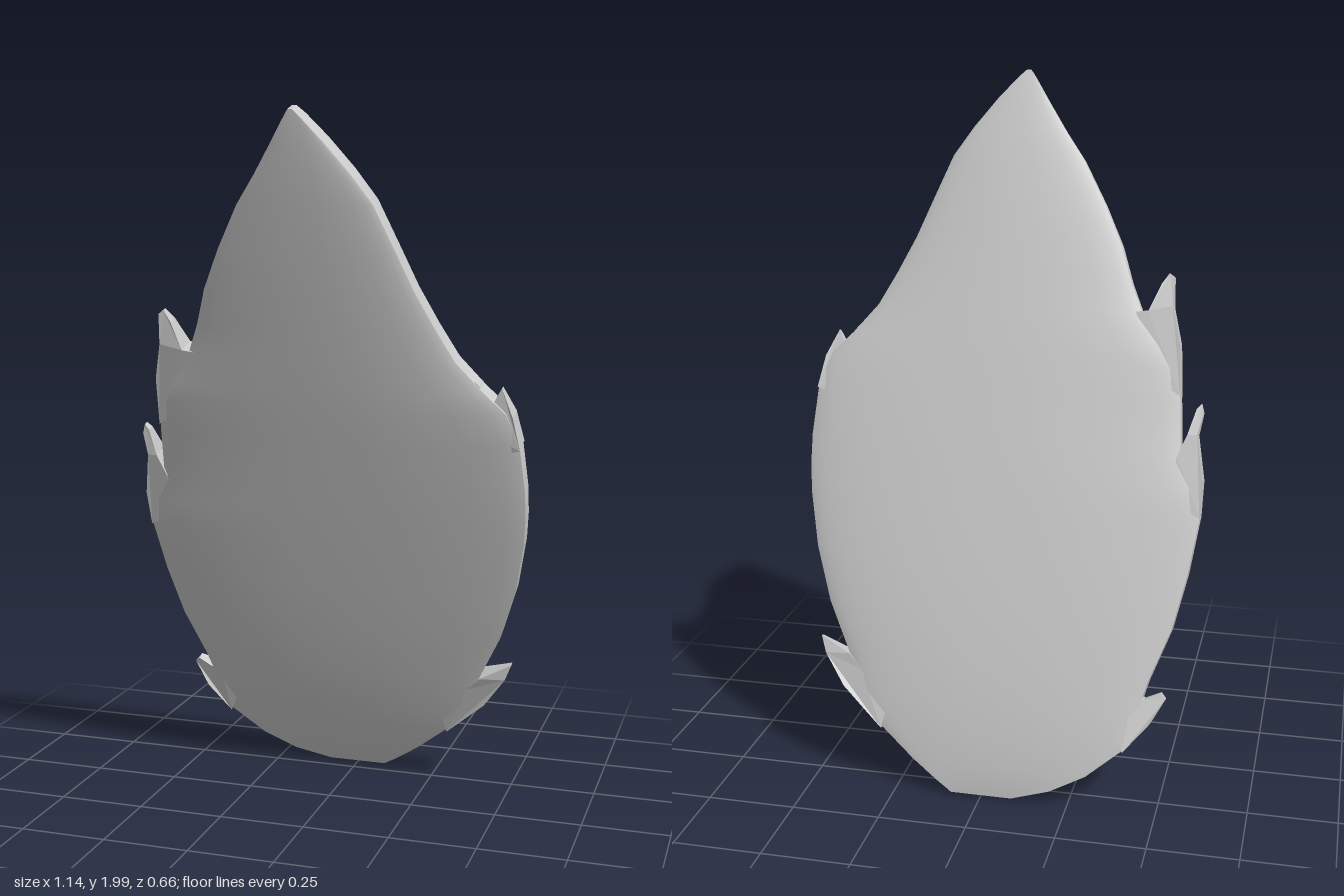
import * as THREE from 'three';

const material = new THREE.MeshStandardMaterial({ color: 0xcccccc, side: THREE.DoubleSide });

// Leaf plane leans forward: x, height along the plane, offset w along its normal
const place = (x, y, w) => new THREE.Vector3(x, y - 0.3 * w, 0.31 - 0.317 * (1.99 - y) + 0.954 * w);

// Smooth surface through a grid of points
function gridInto(positions, index, rows, flip) {
  const start = positions.length / 3, n = rows[0].length;
  rows.forEach(row => row.forEach(p => positions.push(p.x, p.y, p.z)));
  for (let r = 0; r < rows.length - 1; r++) {
    for (let c = 0; c < n - 1; c++) {
      const a = start + r * n + c, b = a + 1, d = a + n, e = d + 1;
      if (flip) index.push(a, e, b, a, d, e);
      else index.push(a, b, e, a, e, d);
    }
  }
}

// Cross-sections: height, left edge, right edge, half thickness
const sections = [
  [0.008, -0.09, 0.085, 0.012], [0.04, -0.2, 0.13, 0.022], [0.09, -0.3, 0.2, 0.034],
  [0.17, -0.4, 0.3, 0.046], [0.26, -0.43, 0.375, 0.055], [0.36, -0.46, 0.41, 0.063],
  [0.5, -0.515, 0.48, 0.069], [0.65, -0.55, 0.53, 0.072], [0.8, -0.573, 0.56, 0.073],
  [0.88, -0.56, 0.568, 0.073], [0.96, -0.51, 0.57, 0.073], [1.1, -0.5, 0.56, 0.072],
  [1.19, -0.488, 0.525, 0.071], [1.25, -0.45, 0.465, 0.07], [1.33, -0.38, 0.395, 0.068],
  [1.42, -0.34, 0.345, 0.065], [1.52, -0.305, 0.295, 0.062], [1.63, -0.25, 0.25, 0.057],
  [1.75, -0.18, 0.2, 0.05], [1.83, -0.12, 0.145, 0.043], [1.91, -0.065, 0.08, 0.034],
  [1.97, -0.025, 0.025, 0.024], [1.992, -0.01, 0.002, 0.02],
];
const across = [-1, -0.97, -0.92, -0.84, -0.72, -0.5, -0.25, 0, 0.25, 0.5, 0.72, 0.84, 0.92, 0.97, 1];

function bladeGeometry() {
  const face = side => sections.map(([y, xl, xr, t]) => across.map(u => {
    const rim = Math.min(0.026, t);
    const dome = Math.pow(1 - Math.pow(Math.abs(u), 2.5), 0.75);
    return place((xl + xr) / 2 + u * (xr - xl) / 2, y, side * (rim + (t - rim) * dome));
  }));
  const front = face(1), back = face(-1);
  // Outer edge loop: along the bottom, up the right, over the tip, down the left
  const edge = g => [
    ...g[0], ...g.slice(1).map(row => row.at(-1)),
    ...g.at(-1).slice(0, -1).reverse(), ...g.slice(0, -1).map(row => row[0]).reverse(),
  ];
  const edgeBack = edge(back);
  const rim = edge(front).map((p, i) => [p, edgeBack[i]]);
  const positions = [], index = [];
  gridInto(positions, index, front, false);
  gridInto(positions, index, back, true);
  gridInto(positions, index, rim, false);
  const g = new THREE.BufferGeometry();
  g.setAttribute('position', new THREE.Float32BufferAttribute(positions, 3));
  g.setIndex(index);
  g.computeVertexNormals();
  return g;
}

// Torn barb: outline in the leaf plane, thinning toward its tip (first point)
function barbGeometry(points) {
  const [tx, ty] = points[0];
  const shape = new THREE.Shape(points.map(([x, y]) => new THREE.Vector2(x, y)));
  const g = new THREE.ExtrudeGeometry(shape, { depth: 2, bevelEnabled: false });
  const pos = g.attributes.position;
  for (let i = 0; i < pos.count; i++) {
    const x = pos.getX(i), y = pos.getY(i);
    const half = Math.min(0.034, 0.008 + 0.25 * Math.hypot(x - tx, y - ty));
    const p = place(x, y, (pos.getZ(i) - 1) * half);
    pos.setXYZ(i, p.x, p.y, p.z);
  }
  g.computeVertexNormals();
  return g;
}

const barbs = {
  upperRightBarb: [[-0.445, 1.45], [-0.46, 1.44], [-0.462, 1.36], [-0.488, 1.26], [-0.498, 1.12],
    [-0.4, 1.18], [-0.36, 1.34], [-0.395, 1.345], [-0.425, 1.42]],
  middleRightBarb: [[-0.558, 1.105], [-0.565, 1.08], [-0.553, 1.02], [-0.575, 0.9], [-0.573, 0.8],
    [-0.48, 0.84], [-0.5, 0.96], [-0.525, 1.02], [-0.545, 1.09]],
  lowerRightBarb: [[-0.51, 0.315], [-0.47, 0.245], [-0.4, 0.165], [-0.36, 0.25], [-0.42, 0.33],
    [-0.45, 0.31], [-0.495, 0.33]],
  lowerLeftBarb: [[0.505, 0.4], [0.485, 0.355], [0.42, 0.27], [0.3, 0.165], [0.28, 0.25],
    [0.37, 0.32], [0.41, 0.36]],
  upperLeftBarb: [[0.515, 1.255], [0.495, 1.222], [0.455, 1.24], [0.44, 1.15], [0.53, 1.08],
    [0.562, 1.09], [0.545, 1.18]],
  upperLeftNick: [[0.412, 1.305], [0.39, 1.29], [0.42, 1.2], [0.48, 1.21], [0.455, 1.265]],
};

export function createModel() {
  const model = new THREE.Group();
  model.name = 'leaf';
  const add = (name, geometry) => {
    const mesh = new THREE.Mesh(geometry, material);
    mesh.name = name;
    model.add(mesh);
  };
  add('blade', bladeGeometry());
  for (const [name, points] of Object.entries(barbs)) add(name, barbGeometry(points));
  return model;
}
